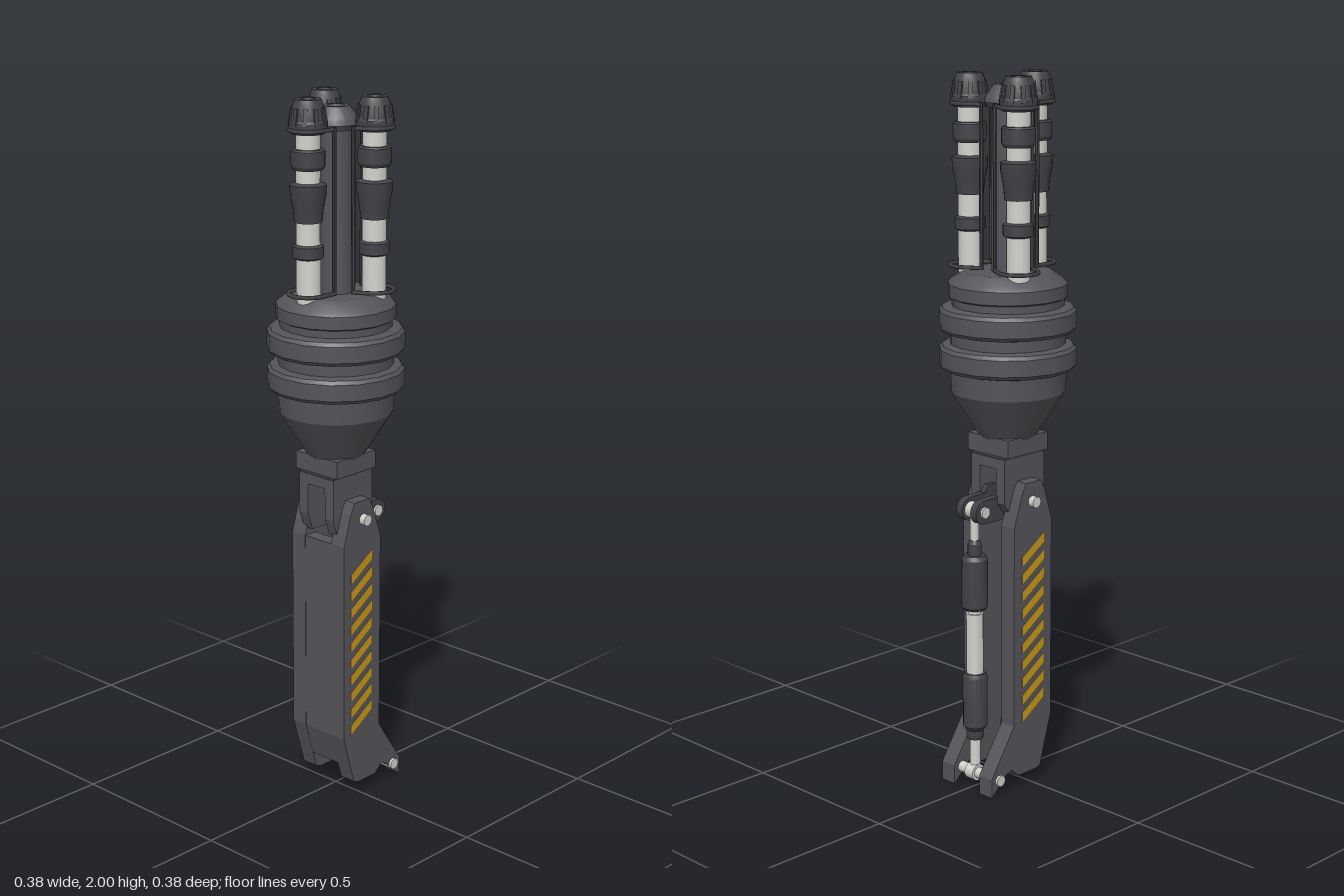
import * as THREE from 'three';
import { toCreasedNormals } from 'three/addons/utils/BufferGeometryUtils.js';

const mat = (name, color) => Object.assign(new THREE.MeshStandardMaterial({ color }), { name });
const gunmetal = mat('gunmetal', 0x55545a);
const darkMetal = mat('dark metal', 0x434247);
const steel = mat('light steel', 0xd2d2cd);
const paint = mat('yellow paint', 0xc8981a);

function add(parent, name, geo, material, x = 0, y = 0, z = 0) {
  const mesh = new THREE.Mesh(geo, material);
  mesh.name = name;
  mesh.position.set(x, y, z);
  parent.add(mesh);
  return mesh;
}
// Turned part from [radius, height] pairs, bottom to top
function turned(points, sides = 16, phase = 0) {
  const geo = new THREE.LatheGeometry(points.map(p => new THREE.Vector2(...p)), sides, phase);
  return toCreasedNormals(geo, 0.45);
}
const rod = (r, y0, y1, r1 = r, sides = 16) => turned([[0, y0], [r, y0], [r1, y1], [0, y1]], sides);
// Plate cut from an outline in x and y, spanning z0 to z1
function plate(shape, z0, z1) {
  const s = Array.isArray(shape) ? new THREE.Shape(shape.map(p => new THREE.Vector2(...p))) : shape;
  return new THREE.ExtrudeGeometry(s, { depth: z1 - z0, bevelEnabled: false, curveSegments: 10 }).translate(0, 0, z0);
}
const pin = (r, halfLength, sides = 12) => new THREE.CylinderGeometry(r, r, halfLength * 2, sides).rotateX(Math.PI / 2);

// One barrel standing at the origin, with the hub towards -x
function makeBarrel() {
  const g = new THREE.Group();
  g.name = 'barrel';
  add(g, 'barrelTube', rod(0.033, 1.45, 1.93), steel);
  add(g, 'lowerBand', turned([[0.033, 1.575], [0.042, 1.58], [0.042, 1.61], [0.033, 1.615]]), darkMetal);
  add(g, 'taperedSleeve', turned([[0.033, 1.675], [0.038, 1.675], [0.041, 1.71], [0.048, 1.745], [0.05, 1.775], [0.033, 1.78]]), darkMetal);
  add(g, 'upperBand', turned([[0.033, 1.815], [0.041, 1.815], [0.046, 1.825], [0.046, 1.865], [0.041, 1.87], [0.033, 1.87]]), darkMetal);
  add(g, 'muzzle', turned([[0, 1.91], [0.046, 1.91], [0.052, 1.925], [0.052, 1.94], [0.048, 1.945], [0.041, 1.985],
    [0.035, 2], [0.021, 2], [0.018, 1.98], [0.009, 1.98], [0.009, 1.97], [0, 1.97]]), darkMetal);
  for (let i = 0; i < 10; i++) {
    const a = i * Math.PI / 5;
    const rib = add(g, 'muzzleRib', new THREE.BoxGeometry(0.008, 0.045, 0.012), darkMetal, 0.045 * Math.cos(a), 1.956, -0.045 * Math.sin(a));
    rib.rotation.set(0, a, 0.17, 'YXZ');
  }
  // Wire guard: two loops round the barrel joined by two upright bars
  for (const [y, r] of [[1.48, 0.054], [1.92, 0.05]]) {
    const pts = [[-0.046, r], [-0.02, r]];
    for (let i = 0; i <= 10; i++) {
      const a = Math.PI / 2 - i * Math.PI / 10;
      pts.push([r * Math.cos(a), r * Math.sin(a)]);
    }
    pts.push([-0.02, -r], [-0.046, -r]);
    const path = new THREE.CatmullRomCurve3(pts.map(([x, z]) => new THREE.Vector3(x, y, z)));
    add(g, 'guardLoop', new THREE.TubeGeometry(path, 32, 0.006, 6), darkMetal);
  }
  for (const s of [-1, 1]) add(g, 'guardBar', rod(0.006, 1.475, 1.925, 0.006, 8), darkMetal, -0.046, 0, s * 0.052);
  return g;
}

export function createModel() {
  const model = new THREE.Group();
  model.name = 'cannonArm';

  // Drum with two raised bands, and cone down to the neck
  add(model, 'drum', turned([[0, 1], [0.078, 1.005], [0.16, 1.135], [0.163, 1.195], [0.182, 1.2], [0.19, 1.21], [0.19, 1.255],
    [0.182, 1.265], [0.16, 1.27], [0.16, 1.3], [0.182, 1.305], [0.19, 1.315], [0.19, 1.36], [0.182, 1.37], [0.155, 1.375],
    [0.155, 1.395], [0.165, 1.4], [0.165, 1.435], [0.157, 1.445], [0.12, 1.468], [0.05, 1.468], [0, 1.468]], 16, 0.29), gunmetal);

  // Centre column with conical cap
  add(model, 'centreColumn', rod(0.045, 1.46, 1.93), gunmetal);
  add(model, 'columnCap', turned([[0, 1.91], [0.055, 1.91], [0.064, 1.925], [0.06, 1.94], [0.036, 1.972], [0.024, 1.972],
    [0.022, 1.962], [0, 1.962]]), gunmetal);

  // Three barrels round the column
  for (let i = 0; i < 3; i++) {
    const arm = new THREE.Group();
    arm.name = 'barrelMount' + (i + 1);
    arm.rotation.y = Math.PI + i * Math.PI * 2 / 3;
    const barrel = makeBarrel();
    barrel.position.x = 0.106;
    arm.add(barrel);
    model.add(arm);
  }

  // Forked neck
  add(model, 'neckBlock', new THREE.BoxGeometry(0.156, 0.05, 0.156), gunmetal, 0, 0.99, 0);
  add(model, 'neckGroove', new THREE.BoxGeometry(0.148, 0.012, 0.13), darkMetal, 0, 0.962, 0);
  add(model, 'neckBridge', new THREE.BoxGeometry(0.156, 0.03, 0.13), gunmetal, 0, 0.943, 0);
  const forkOutline = [[-0.078, 0.935], [-0.078, 0.84], [-0.06, 0.79], [0.05, 0.79], [0.078, 0.83], [0.078, 0.935]];
  const ear = new THREE.Shape();
  ear.moveTo(0.03, 0.78);
  ear.lineTo(0.13, 0.782);
  ear.absarc(0.13, 0.815, 0.033, -Math.PI / 2, Math.PI / 2, false);
  ear.lineTo(0.075, 0.85);
  ear.lineTo(0.06, 0.87);
  ear.lineTo(0.03, 0.87);
  for (const s of [-1, 1]) {
    const span = (a, b) => (s > 0 ? [a, b] : [-b, -a]);
    add(model, 'neckFork', plate(forkOutline, ...span(0.032, 0.065)), gunmetal);
    add(model, 'actuatorEar', plate(ear, ...span(0.016, 0.038)), darkMetal);
  }

  // Lower arm: two side plates joined by a back wall
  const legOutline = [[-0.03, 0.89], [-0.045, 0.86], [-0.072, 0.77], [-0.072, 0.19], [-0.03, 0.045], [-0.01, 0.038], [0.06, 0.038],
    [0.085, 0.062], [0.105, 0.055], [0.165, 0], [0.165, 0.055], [0.076, 0.19], [0.076, 0.77], [0.045, 0.86], [0.03, 0.89]];
  const wallOutline = [[-0.071, 0.77], [-0.071, 0.19], [-0.043, 0.092], [-0.015, 0.092], [-0.03, 0.19], [-0.03, 0.77]];
  for (const s of [-1, 1]) {
    const z = s > 0 ? 0.05 : -0.1;
    add(model, 'armSidePlate', plate(legOutline, z, z + 0.05), gunmetal);
  }
  add(model, 'armBackWall', plate(wallOutline, -0.05, 0.05), gunmetal);

  // Hinge pins
  add(model, 'upperHingePin', pin(0.016, 0.118), steel, 0.005, 0.835, 0);
  add(model, 'lowerHingePin', pin(0.016, 0.108), steel, 0.135, 0.045, 0);
  add(model, 'earPin', pin(0.016, 0.045), steel, 0.13, 0.815, 0);

  // Slanted warning stripes on both outer faces
  const stripe = [[-0.045, 0], [0.04, 0.055], [0.04, 0.083], [-0.045, 0.028]];
  for (const turn of [0, Math.PI]) {
    const side = new THREE.Group();
    side.name = turn ? 'rearStripes' : 'frontStripes';
    side.rotation.y = turn;
    for (let i = 0; i < 10; i++) add(side, 'stripe', plate(stripe, 0.099, 0.102), paint, 0, 0.195 + i * 0.051, 0);
    model.add(side);
  }

  // Hydraulic actuator
  const act = new THREE.Group();
  act.name = 'actuator';
  act.position.x = 0.131;
  model.add(act);
  add(act, 'upperEye', pin(0.024, 0.014, 16), steel, 0, 0.815, 0);
  add(act, 'upperRod', rod(0.012, 0.71, 0.81), steel);
  add(act, 'upperCollar', turned([[0, 0.685], [0.019, 0.685], [0.019, 0.72], [0.014, 0.73], [0, 0.73]]), darkMetal);
  add(act, 'upperCylinder', turned([[0, 0.53], [0.032, 0.53], [0.037, 0.537], [0.037, 0.675], [0.03, 0.687], [0, 0.687]]), darkMetal);
  add(act, 'piston', rod(0.024, 0.33, 0.517), steel);
  add(act, 'pistonNeck', rod(0.018, 0.51, 0.535), steel);
  add(act, 'lowerCylinder', turned([[0, 0.145], [0.022, 0.145], [0.025, 0.155], [0.025, 0.172], [0.035, 0.185], [0.035, 0.33],
    [0.03, 0.342], [0, 0.342]]), darkMetal);
  add(act, 'lowerRod', rod(0.015, 0.045, 0.15), steel);
  add(act, 'lowerEye', pin(0.024, 0.016, 16), steel, 0.004, 0.045, 0);
  return model;
}
